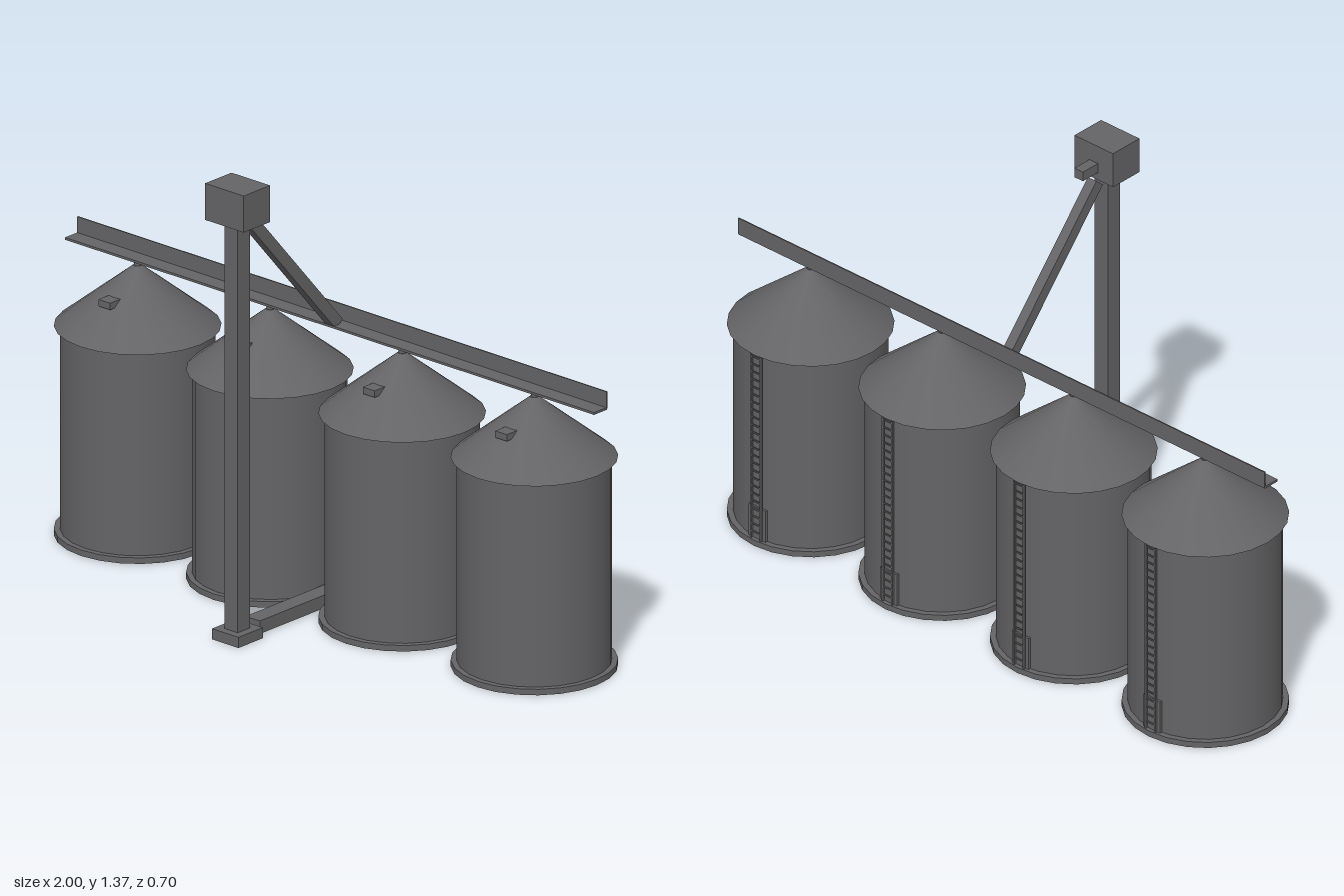
import * as THREE from 'three';

const steel = new THREE.MeshStandardMaterial({ color: 0x646466 });
steel.name = 'dark steel';

function part(parent, name, geometry, x, y, z) {
  const mesh = new THREE.Mesh(geometry, steel);
  mesh.name = name;
  mesh.position.set(x, y, z);
  parent.add(mesh);
  return mesh;
}

// Box given by its extents on each axis
function box(parent, name, [x0, x1], [y0, y1], [z0, z1]) {
  return part(parent, name, new THREE.BoxGeometry(x1 - x0, y1 - y0, z1 - z0),
    (x0 + x1) / 2, (y0 + y1) / 2, (z0 + z1) / 2);
}

function drum(parent, name, rTop, rBottom, y0, y1) {
  return part(parent, name, new THREE.CylinderGeometry(rTop, rBottom, y1 - y0, 24), 0, (y0 + y1) / 2, 0);
}

// One bin, centred on its own axis, ladder at the back
function createBin() {
  const bin = new THREE.Group();
  bin.name = 'grainBin';
  drum(bin, 'basePad', 0.235, 0.235, 0, 0.018);
  drum(bin, 'binWall', 0.218, 0.218, 0.018, 0.63);
  drum(bin, 'coneRoof', 0.012, 0.235, 0.628, 0.808);
  drum(bin, 'fillNeck', 0.01, 0.01, 0.8, 0.828);
  box(bin, 'roofHatch', [-0.022, 0.022], [0.718, 0.738], [0.095, 0.139]);
  box(bin, 'door', [-0.032, 0.032], [0.018, 0.12], [-0.222, -0.212]);

  const ladder = new THREE.Group();
  ladder.name = 'ladder';
  for (const x of [-0.018, 0.018]) {
    box(ladder, 'ladderRail', [x - 0.003, x + 0.003], [0.018, 0.63], [-0.229, -0.223]);
  }
  for (let i = 0; i < 24; i++) {
    const y = 0.04 + i * 0.025;
    box(ladder, 'ladderRung', [-0.018, 0.018], [y - 0.002, y + 0.002], [-0.228, -0.224]);
  }
  bin.add(ladder);
  return bin;
}

export function createModel() {
  const model = new THREE.Group();
  model.name = 'grainElevator';

  // Row of four bins
  for (const x of [-0.75, -0.25, 0.25, 0.75]) {
    const bin = createBin();
    bin.position.set(x, 0, -0.115);
    model.add(bin);
  }

  // Walkway over the roofs: floor and back panel
  box(model, 'walkwayFloor', [-1, 1], [0.825, 0.832], [-0.141, -0.088]);
  box(model, 'walkwayPanel', [-1, 1], [0.828, 0.88], [-0.143, -0.139]);

  // Bucket elevator tower
  box(model, 'towerBoot', [-0.05, 0.05], [0, 0.032], [0.245, 0.347]);
  box(model, 'towerLeg', [-0.025, 0.025], [0.03, 1.258], [0.271, 0.322]);
  box(model, 'towerHead', [-0.073, 0.073], [1.256, 1.366], [0.24, 0.35]);
  box(model, 'headOutlet', [-0.016, 0.016], [1.28, 1.31], [0.178, 0.242]);

  // Ground conveyor between the bins
  box(model, 'groundConveyor', [-0.027, 0.027], [0.003, 0.042], [-0.1, 0.232]);

  // Sloping spout from the tower head to the walkway
  const top = new THREE.Vector3(0, 1.243, 0.247);
  const end = new THREE.Vector3(0, 0.832, -0.112);
  const spout = part(model, 'spout', new THREE.BoxGeometry(0.032, top.distanceTo(end), 0.036), 0, 0, 0);
  spout.position.copy(top).add(end).multiplyScalar(0.5);
  spout.quaternion.setFromUnitVectors(new THREE.Vector3(0, 1, 0), top.clone().sub(end).normalize());

  return model;
}
